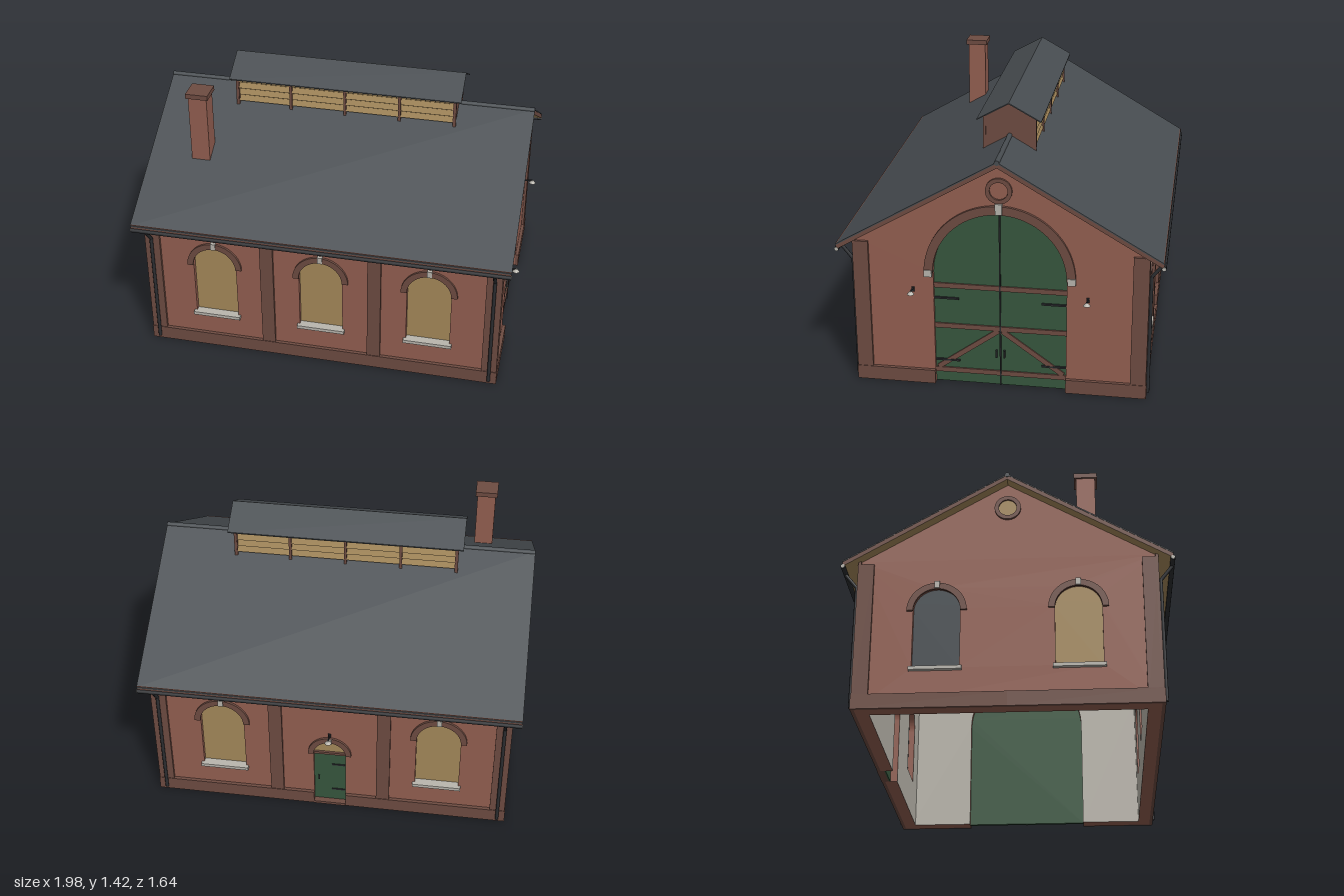
import * as THREE from 'three';

const mat = (name, color) => {
  const m = new THREE.MeshStandardMaterial({ color });
  m.name = name;
  return m;
};

export function createModel() {
  const M = {
    brick: mat('brick', 0x935f51), trim: mat('dark brick', 0x6e4c42), plaster: mat('plaster', 0xbab6ac),
    tan: mat('tan wood and glazing', 0xa5895a), glass: mat('dark glass', 0x42494e), slate: mat('slate', 0x484d51),
    green: mat('green paint', 0x37573e), iron: mat('iron', 0x2b2d30), stone: mat('stone', 0xb9b6ae),
  };
  const model = new THREE.Group();
  const house = new THREE.Group();
  house.name = 'engineShed';
  house.position.x = -0.015;
  model.add(house);

  const add = (parent, name, geo, material, x = 0, y = 0, z = 0) => {
    const m = new THREE.Mesh(geo, material);
    m.name = name;
    m.position.set(x, y, z);
    parent.add(m);
    return m;
  };
  const box = (p, name, material, w, h, d, x, y, z) => add(p, name, new THREE.BoxGeometry(w, h, d), material, x, y, z);
  const extrude = (shape, depth) => new THREE.ExtrudeGeometry(shape, { depth, bevelEnabled: false, curveSegments: 20 });
  // round bar between two points
  const bar = (p, name, material, a, b, r) => {
    const A = new THREE.Vector3(...a), B = new THREE.Vector3(...b), dir = B.clone().sub(A);
    const m = add(p, name, new THREE.CylinderGeometry(r, r, dir.length(), 10), material);
    m.position.copy(A).add(B).multiplyScalar(0.5);
    m.quaternion.setFromUnitVectors(new THREE.Vector3(0, 1, 0), dir.normalize());
    return m;
  };
  // round-headed opening outline
  const arch = (u, r, bottom, spring, Type = THREE.Shape) => {
    const s = new Type();
    s.moveTo(u - r, bottom);
    s.lineTo(u + r, bottom);
    s.lineTo(u + r, spring);
    s.absarc(u, spring, r, 0, Math.PI, false);
    s.lineTo(u - r, bottom);
    return s;
  };
  // flat arch or ring band
  const band = (r0, r1, full) => {
    const end = full ? Math.PI * 2 : Math.PI, s = new THREE.Shape();
    s.absarc(0, 0, r1, 0, end, false);
    if (full) {
      s.holes.push(new THREE.Path().absarc(0, 0, r0, 0, end, true));
    } else {
      s.lineTo(-r0, 0);
      s.absarc(0, 0, r0, end, 0, true);
      s.lineTo(r1, 0);
    }
    return s;
  };
  const W = { r: 0.115, bottom: 0.21, spring: 0.525 };
  const SLOPE = 0.585, UNDER = 1.217;

  // wall lamp: bracket arm and conical shade
  const lamp = (p, u, y, d) => {
    const g = new THREE.Group();
    g.name = 'wallLamp';
    g.position.set(u, y, d);
    p.add(g);
    box(g, 'lampPlate', M.iron, 0.014, 0.025, 0.006, 0, 0, 0.003);
    bar(g, 'lampArm', M.iron, [0, 0.005, 0], [0, 0.012, 0.055], 0.004);
    add(g, 'lampShade', new THREE.CylinderGeometry(0.006, 0.018, 0.016, 16), M.stone, 0, 0.004, 0.056);
  };

  // one wall facing local +z, d = distance of its outer face from the centre
  const wall = (name, angle, d, half, gable, windows, door) => {
    const g = new THREE.Group();
    g.name = name;
    g.rotation.y = angle;
    house.add(g);
    const face = d - 0.015;
    const outline = (w) => {
      const s = new THREE.Shape();
      s.moveTo(-w, 0);
      if (door) {
        s.lineTo(-door.r, 0);
        s.lineTo(-door.r, door.spring);
        s.absarc(0, door.spring, door.r, Math.PI, 0, true);
        s.lineTo(door.r, 0);
      }
      s.lineTo(w, 0);
      s.lineTo(w, gable ? UNDER - SLOPE * w : 0.79);
      if (gable) s.lineTo(0, UNDER);
      s.lineTo(-w, gable ? UNDER - SLOPE * w : 0.79);
      windows.forEach((u) => s.holes.push(arch(u, W.r, W.bottom, W.spring, THREE.Path)));
      return s;
    };
    const inset = gable ? half - 0.015 : half - 0.06;
    add(g, 'brickPanel', extrude(outline(inset), 0.045), M.brick, 0, 0, d - 0.06);
    add(g, 'plasterLining', extrude(outline(half - 0.06), 0.02), [M.plaster, M.brick], 0, 0, d - 0.08);

    // corner pilasters and plinth
    const h = gable ? 0.775 : 0.79;
    for (const s of [-1, 1]) {
      box(g, 'cornerPilaster', M.trim, 0.08, h, 0.015, s * (half - 0.04), h / 2, d - 0.0075);
      const start = door ? door.r : 0;
      box(g, 'plinth', M.trim, half - start, 0.075, 0.018, s * (half + start) / 2, 0.0375, d - 0.006);
      if (!gable) box(g, 'pilaster', M.trim, 0.07, 0.79, 0.015, s * 0.285, 0.395, d - 0.0075);
    }
    if (!gable) box(g, 'cornice', M.trim, half * 2, 0.06, 0.014, 0, 0.76, d - 0.0075);

    // windows
    for (const u of windows) {
      const dark = name === 'leftEndWall' && u < 0;
      const shape = arch(u, W.r, W.bottom, W.spring);
      add(g, 'windowPane', new THREE.ShapeGeometry(shape, 20), dark ? M.glass : M.tan, 0, 0, d - 0.04);
      add(g, 'windowBack', extrude(shape, 0.005), M.glass, 0, 0, d - 0.047);
      add(g, 'windowArch', extrude(band(W.r, 0.147), 0.012), M.trim, u, W.spring - 0.01, face);
      box(g, 'windowKeystone', M.stone, 0.026, 0.036, 0.018, u, 0.65, face + 0.009);
      box(g, 'windowSill', M.stone, 0.255, 0.018, 0.05, u, 0.204, face - 0.003);
    }
    // gable roundel
    if (gable) {
      add(g, 'roundelRing', extrude(band(0.045, 0.066, true), 0.012), M.trim, 0, 1.08, face);
      if (!door) add(g, 'roundelPane', new THREE.CircleGeometry(0.046, 24), M.tan, 0, 1.08, face + 0.003);
    }
    return { g, face };
  };

  wall('frontWall', 0, 0.74, 0.94, false, [-0.57, 0, 0.57]);
  wall('leftEndWall', -Math.PI / 2, 0.94, 0.74, true, [-0.345, 0.345]);

  // back wall with the small door
  {
    const r = 0.085, spring = 0.355;
    const { g, face } = wall('backWall', Math.PI, 0.74, 0.94, false, [-0.57, 0.57], { r, spring });
    add(g, 'smallDoorTransom', extrude(arch(0, r, 0.34, spring), 0.008), M.tan, 0, 0, face - 0.025);
    box(g, 'smallDoorLeaf', M.green, r * 2, 0.345, 0.015, 0, 0.1725, face - 0.02);
    box(g, 'smallDoorHead', M.trim, r * 2, 0.014, 0.02, 0, 0.35, face - 0.015);
    box(g, 'smallDoorStep', M.trim, r * 2, 0.015, 0.04, 0, 0.0075, face);
    for (const y of [0.09, 0.27]) box(g, 'smallDoorHinge', M.iron, 0.07, 0.008, 0.005, 0.045, y, face - 0.01);
    box(g, 'smallDoorHandle', M.iron, 0.008, 0.03, 0.008, -0.06, 0.17, face - 0.01);
    add(g, 'smallDoorArch', extrude(band(r, 0.115), 0.012), M.trim, 0, spring, face);
    box(g, 'smallDoorKeystone', M.stone, 0.022, 0.034, 0.016, 0, 0.452, face + 0.008);
    lamp(g, 0, 0.485, face);
  }

  // end wall with the great double door
  {
    const r = 0.335, spring = 0.622;
    const { g, face } = wall('rightEndWall', Math.PI / 2, 0.94, 0.74, true, [], { r, spring });
    add(g, 'greatDoor', extrude(arch(0, r, 0.005, spring), 0.02), M.green, 0, 0, face - 0.035);
    const z = face - 0.011;
    for (const y of [0.55, 0.325, 0.073]) box(g, 'doorRail', M.trim, r * 2, 0.026, 0.008, 0, y, z);
    box(g, 'doorGap', M.iron, 0.007, 0.95, 0.011, 0, 0.48, z);
    for (const s of [-1, 1]) {
      const dx = 0.31, dy = 0.225;
      box(g, 'doorBrace', M.trim, Math.hypot(dx, dy), 0.026, 0.007, s * 0.165, 0.2, z)
        .rotation.z = -s * Math.atan2(dy, dx);
      for (const y of [0.48, 0.13]) box(g, 'doorHinge', M.iron, 0.125, 0.009, 0.012, s * 0.272, y, z);
      box(g, 'doorHandle', M.iron, 0.008, 0.042, 0.014, s * 0.02, 0.185, z + 0.005);
      box(g, 'archSpringer', M.stone, 0.04, 0.036, 0.022, s * 0.36, 0.622, face + 0.009);
      lamp(g, s * 0.44, 0.525, face);
    }
    add(g, 'greatDoorArch', extrude(band(r, 0.38), 0.015), M.trim, 0, spring, face);
    box(g, 'greatDoorKeystone', M.stone, 0.034, 0.056, 0.022, 0, 0.988, face + 0.011);
  }

  // pitched slab running along x
  const pitched = (name, material, half, ridge, slope, t, length) => {
    const s = new THREE.Shape();
    s.moveTo(-half, ridge - slope * half);
    s.lineTo(-half, ridge - slope * half - t);
    s.lineTo(0, ridge - t);
    s.lineTo(half, ridge - slope * half - t);
    s.lineTo(half, ridge - slope * half);
    s.lineTo(0, ridge);
    add(house, name, extrude(s, length).translate(0, 0, -length / 2), material).rotation.y = Math.PI / 2;
  };
  pitched('roofBoards', [M.trim, M.tan], 0.808, 1.241, SLOPE, 0.024, 1.966);
  pitched('roofSlates', M.slate, 0.812, 1.248, SLOPE, 0.007, 1.97);
  bar(house, 'ridgeTile', M.slate, [-0.985, 1.243, 0], [0.985, 1.243, 0], 0.013);

  // eaves, gutters and downpipes
  for (const s of [-1, 1]) {
    box(house, 'fascia', M.trim, 1.966, 0.028, 0.008, 0, 0.763, s * 0.806);
    bar(house, 'gutter', M.iron, [-0.982, 0.745, s * 0.808], [0.982, 0.745, s * 0.808], 0.012);
    for (const e of [-1, 1]) {
      bar(house, 'gutterCap', M.stone, [e * 0.98, 0.745, s * 0.808], [e * 0.985, 0.745, s * 0.808], 0.01);
      bar(house, 'downpipe', M.iron, [e * 0.902, 0.02, s * 0.748], [e * 0.902, 0.667, s * 0.748], 0.009);
      bar(house, 'downpipeNeck', M.iron, [e * 0.902, 0.662, s * 0.748], [e * 0.902, 0.738, s * 0.808], 0.009);
    }
  }

  // louvred ridge vent
  const end = new THREE.Shape();
  [[-0.133, 1.14], [0.133, 1.14], [0.133, 1.342], [0, 1.415], [-0.133, 1.342]]
    .forEach(([x, y], i) => (i ? end.lineTo(x, y) : end.moveTo(x, y)));
  for (const s of [-1, 1]) {
    add(house, 'ventEnd', extrude(end, 0.014).translate(0, 0, -0.007), M.trim, s * 0.581).rotation.y = Math.PI / 2;
    for (let i = 0; i < 4; i++) {
      box(house, 'louvre', M.tan, 1.15, 0.032, 0.006, 0, 1.205 + i * 0.037, s * 0.122).rotation.x = -s * 0.35;
    }
    for (let i = 0; i < 5; i++) box(house, 'ventPost', M.trim, 0.014, 0.19, 0.014, (i - 2) * 0.292, 1.25, s * 0.128);
  }
  box(house, 'ventCore', M.trim, 1.15, 0.19, 0.226, 0, 1.25, 0);
  pitched('ventRoof', M.slate, 0.163, 1.422, 0.555, 0.006, 1.235);

  // chimney
  box(house, 'chimneyStack', M.brick, 0.098, 0.42, 0.098, -0.705, 1.15, 0.393);
  box(house, 'chimneyCap', M.trim, 0.118, 0.026, 0.12, -0.705, 1.365, 0.393);

  return model;
}
